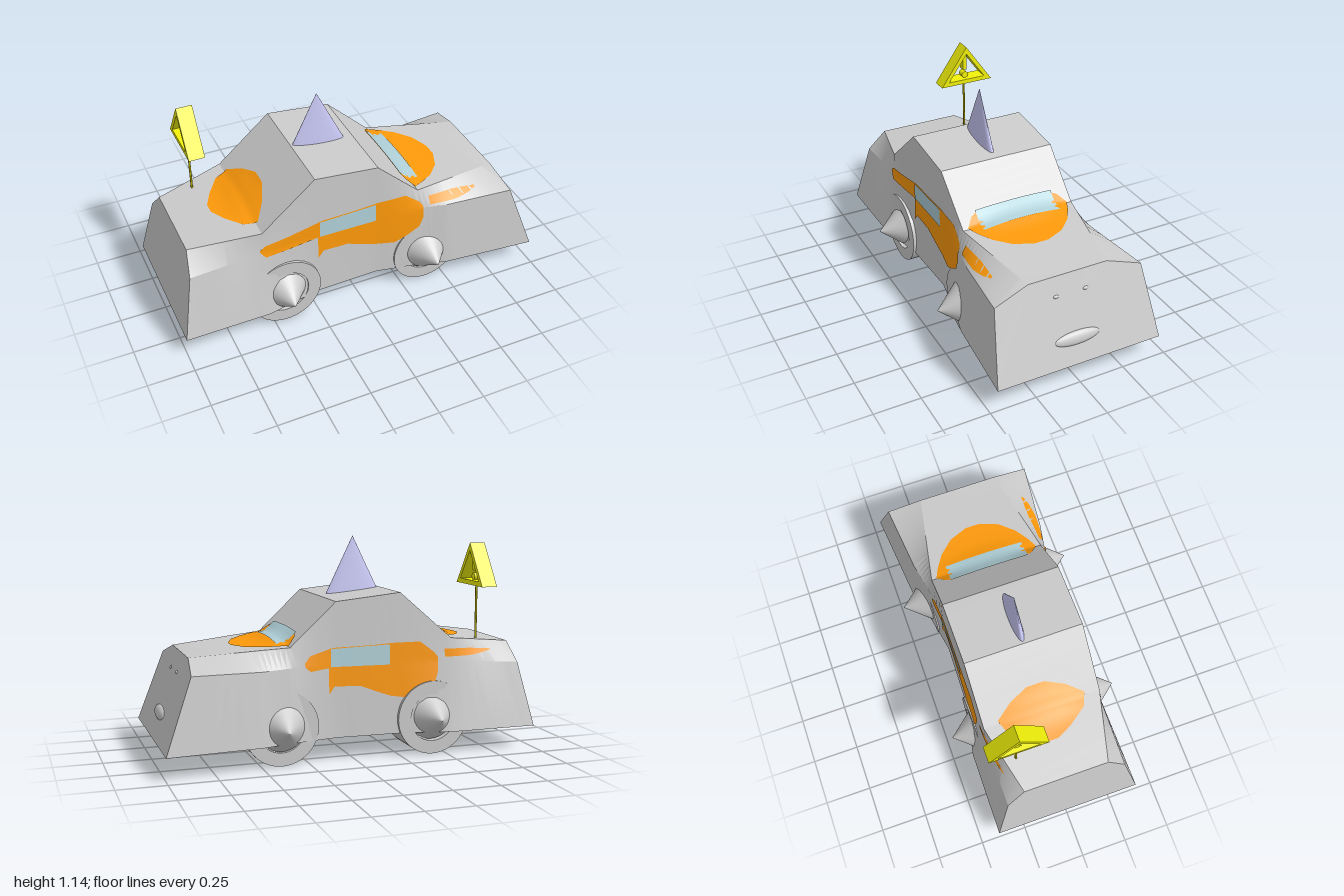
import * as THREE from 'three';
import { toCreasedNormals } from 'three/addons/utils/BufferGeometryUtils.js';

const lerp = THREE.MathUtils.lerp;
const mat = (color, side = THREE.FrontSide) => new THREE.MeshStandardMaterial({ color, side });

// Body stations: bottom x, z | shoulder x, y, z | top x, y, z
const STATIONS = [
  [-1, 0.40, -0.931, 0.46, 0.325, -0.91, 0.565, 0.23],
  [-0.54, 0.395, -0.54, 0.49, 0.328, -0.54, 0.61, 0.32],
  [-0.25, 0.335, -0.25, 0.5, 0.325, -0.25, 0.86, 0.32],
  [0.1, 0.325, 0.1, 0.5, 0.322, 0.1, 0.825, 0.32],
  [0.34, 0.37, 0.34, 0.5, 0.345, 0.34, 0.6, 0.315],
  [0.5, 0.415, 0.5, 0.495, 0.375, 0.5, 0.588, 0.285],
  [1, 0.46, 0.862, 0.5, 0.41, 0.84, 0.56, 0.22],
];
const FLOOR = 0.12;

// Interpolate a table of rows, n steps per interval
function resample(rows, n) {
  const out = [rows[0]];
  for (let i = 1; i < rows.length; i++)
    for (let k = 1; k <= n; k++) out.push(rows[i].map((v, j) => lerp(rows[i - 1][j], v, k / n)));
  return out;
}

// Station at x, measured along column c
function stationAt(x, c) {
  let i = 1;
  while (i < STATIONS.length - 1 && x > STATIONS[i][c]) i++;
  const a = STATIONS[i - 1], b = STATIONS[i];
  const t = (x - a[c]) / (b[c] - a[c]);
  return a.map((v, j) => lerp(v, b[j], t));
}
const topY = (x) => stationAt(x, 5)[6];
function sideZ(x, y) {
  const s = stationAt(x, 2);
  if (y < s[3]) return lerp(s[1], s[4], (y - FLOOR) / (s[3] - FLOOR));
  return lerp(s[4], s[7], Math.min(1, (y - s[3]) / (s[6] - s[3])));
}

function buildGeometry(pos, idx) {
  const g = new THREE.BufferGeometry();
  g.setAttribute('position', new THREE.Float32BufferAttribute(pos, 3));
  g.setIndex(idx);
  return g;
}

// Lofted body with closed floor and ends
function bodyGeometry() {
  const pos = [], idx = [], N = 6;
  const rows = resample(STATIONS, 6);
  for (const [bx, bz, sx, sy, sz, tx, ty, tz] of rows)
    pos.push(bx, FLOOR, bz, sx, sy, sz, tx, ty, tz, tx, ty, -tz, sx, sy, -sz, bx, FLOOR, -bz);
  for (let i = 0; i < rows.length - 1; i++)
    for (let j = 0; j < N; j++) {
      const a = i * N + j, b = i * N + (j + 1) % N;
      idx.push(a, a + N, b, b, a + N, b + N);
    }
  const e = (rows.length - 1) * N;
  for (let k = 1; k < N - 1; k++) idx.push(0, k, k + 1, e, e + k + 1, e + k);
  return toCreasedNormals(buildGeometry(pos, idx), 0.3);
}

// Thin sheet over rows [u, v0, v1], placed by fn(u, v, side -1..1)
function patch(rows, fn, color, name) {
  const pos = [], idx = [], M = 12;
  const fine = resample(rows, 4);
  for (const [u, v0, v1] of fine)
    for (let j = 0; j <= M; j++) pos.push(...fn(u, lerp(v0, v1, j / M), (2 * j) / M - 1));
  for (let i = 0; i < fine.length - 1; i++)
    for (let j = 0; j < M; j++) {
      const a = i * (M + 1) + j, b = a + M + 1;
      idx.push(a, b, a + 1, a + 1, b, b + 1);
    }
  const g = buildGeometry(pos, idx);
  g.computeVertexNormals();
  const m = new THREE.Mesh(g, mat(color, THREE.DoubleSide));
  m.name = name;
  return m;
}

export function createModel() {
  const car = new THREE.Group();
  car.name = 'car';
  const GREY = 0xcccccc, ORANGE = 0xff9a0a, GLASS = 0xb0d0d8, YELLOW = 0xf2f20a;
  const add = (name, geo, color, x = 0, y = 0, z = 0, parent = car) => {
    const m = new THREE.Mesh(geo, mat(color));
    m.name = name;
    m.position.set(x, y, z);
    parent.add(m);
    return m;
  };

  add('body', bodyGeometry(), GREY);

  // Wheels: thick open rings with pointed hubs
  const ring = [[0.125, -0.105], [0.195, -0.105], [0.195, 0.105], [0.125, 0.105], [0.125, -0.105]];
  const tire = toCreasedNormals(
    new THREE.LatheGeometry(ring.map((p) => new THREE.Vector2(...p)), 48), 0.5);
  for (const [x, tip] of [[-0.43, 0.475], [0.395, 0.495]])
    for (const s of [1, -1]) {
      add('wheel', tire, GREY, x, 0.195, s * 0.245).rotation.x = Math.PI / 2;
      const hub = add('hubCone', new THREE.ConeGeometry(0.125, 0.15, 32), GREY, x, 0.2, s * (tip - 0.075));
      hub.rotation.x = s * Math.PI / 2;
    }

  // Roof horn, flattened sideways
  add('roofHorn', new THREE.ConeGeometry(0.152, 0.31, 48), 0xc8c8f5, -0.1, 0.983, 0).scale.z = 0.2;

  // Nose: mouth and eyes as flat bumps on the sloping face
  const ball = new THREE.SphereGeometry(1, 32, 16);
  const bump = (name, x, y, z, sx, sy, sz) => {
    const m = add(name, ball, GREY, x, y, z);
    m.scale.set(sx, sy, sz);
    m.rotation.z = 0.35;
  };
  bump('mouth', 0.95, 0.247, 0, 0.02, 0.036, 0.127);
  for (const s of [1, -1]) bump('eye', 0.873, 0.465, s * 0.083, 0.008, 0.009, 0.015);

  // Side paint and window; the far side is turned half a circle
  const rearPaint = [[-0.56, 0.5, 0.51], [-0.53, 0.462, 0.53], [-0.4, 0.47, 0.55], [-0.235, 0.488, 0.585]];
  const doorPaint = [[-0.24, 0.35, 0.585], [-0.21, 0.39, 0.59], [-0.07, 0.385, 0.592], [0.02, 0.35, 0.595],
    [0.1, 0.322, 0.6], [0.2, 0.308, 0.6], [0.26, 0.335, 0.6], [0.34, 0.385, 0.54], [0.36, 0.44, 0.515]];
  const spear = [[0.4, 0.512, 0.555], [0.55, 0.512, 0.55], [0.63, 0.522, 0.542], [0.68, 0.532, 0.537]];
  const sideGlass = [[-0.23, 0.492, 0.585], [0.09, 0.488, 0.594]];
  for (const s of [1, -1]) {
    const on = (lift) => (u, y) => {
      const x = s > 0 ? u : -0.1 - u;
      return [x, y, s * (sideZ(x, y) + lift)];
    };
    const rear = s > 0 ? rearPaint : [[-0.37, 0.5, 0.52], [-0.34, 0.475, 0.555], rearPaint[3]];
    for (const rows of [rear, doorPaint, spear]) car.add(patch(rows, on(0.005), ORANGE, 'sidePaint'));
    car.add(patch(sideGlass, on(0.009), GLASS, 'sideWindow'));
  }

  // Bulging windscreen and rear panels filling the creases
  const over = (crease, bulge, lift) => (x, z, v) =>
    [x, topY(x) + lift + bulge * Math.exp(-(((x - crease) / 0.07) ** 2)) * (1 - v * v * 0.9), z];
  const sym = (rows) => rows.map(([x, w]) => [x, -w, w]);
  car.add(patch(sym([[0.285, 0.21], [0.3, 0.25], [0.34, 0.288], [0.4, 0.26], [0.47, 0.215], [0.54, 0.14],
    [0.58, 0.04]]), over(0.35, 0.022, 0.004), ORANGE, 'windscreenPaint'));
  car.add(patch(sym([[0.282, 0.22], [0.388, 0.22]]), over(0.35, 0.022, 0.01), GLASS, 'windscreen'));
  car.add(patch(sym([[-0.71, 0.03], [-0.67, 0.11], [-0.6, 0.21], [-0.53, 0.24], [-0.47, 0.15],
    [-0.43, 0.05]]), over(-0.54, 0.022, 0.004), ORANGE, 'rearPaint'));

  // Warning sign on a pole
  const sign = new THREE.Group();
  sign.name = 'warningSign';
  sign.position.set(-0.733, 0, -0.213);
  car.add(sign);
  const triangle = (C, w, y0, y1) => {
    const t = new C();
    t.moveTo(-w, y0);
    t.lineTo(w, y0);
    t.lineTo(0, y1);
    t.closePath();
    return t;
  };
  const frame = triangle(THREE.Shape, 0.158, 0.876, 1.1);
  frame.holes.push(triangle(THREE.Path, 0.112, 0.901, 1.058));
  const frameGeo = new THREE.ExtrudeGeometry(frame, { depth: 0.086, bevelEnabled: false });
  frameGeo.translate(0, 0, -0.043).rotateY(Math.PI / 2);
  add('signFrame', frameGeo, YELLOW, 0, 0, 0, sign);
  add('signBar', new THREE.BoxGeometry(0.04, 0.088, 0.022), YELLOW, 0, 0.996, 0, sign);
  add('signDot', new THREE.CylinderGeometry(0.019, 0.019, 0.04, 24), YELLOW, 0, 0.921, 0, sign)
    .rotation.z = Math.PI / 2;
  add('signPole', new THREE.CylinderGeometry(0.006, 0.006, 0.32, 12), 0xb0a800, 0, 0.73, 0, sign);
  return car;
}
